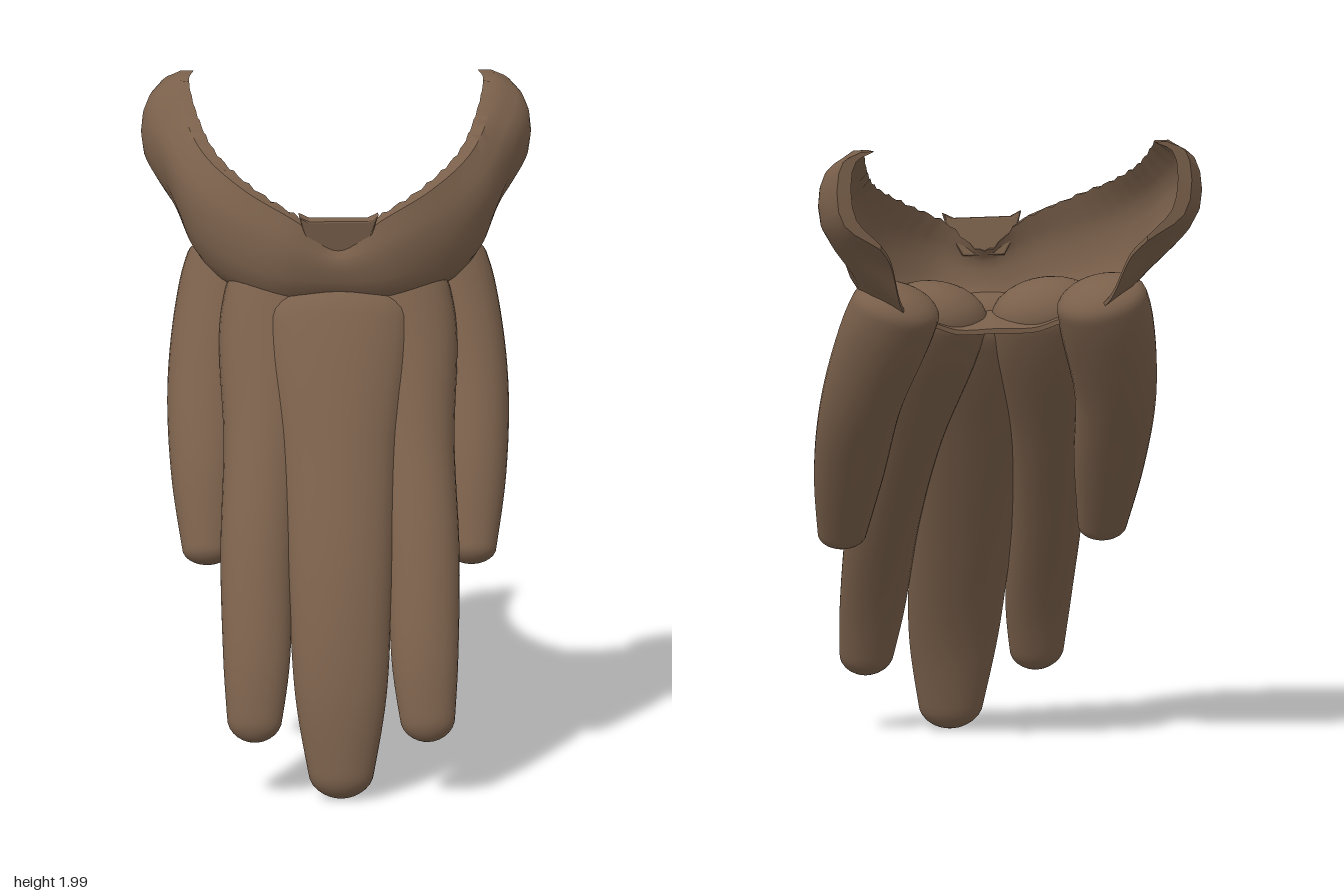
import * as THREE from 'three';
import { toCreasedNormals } from 'three/addons/utils/BufferGeometryUtils.js';

const hair = new THREE.MeshStandardMaterial({ color: 0x7a604b, side: THREE.DoubleSide });
hair.name = 'brown hair';

const V = (p) => new THREE.Vector3(p[0], p[1], p[2]);
const curve = (pts) => new THREE.CatmullRomCurve3(pts, false, 'centripetal');

// Joins equal closed rings into a tube with flat caps at both ends
function loft(rings) {
  const n = rings[0].length, pos = [], idx = [];
  rings.forEach((r) => r.forEach((p) => pos.push(p.x, p.y, p.z)));
  for (let i = 0; i < rings.length - 1; i++) {
    for (let j = 0; j < n; j++) {
      const a = i * n + j, b = i * n + (j + 1) % n;
      idx.push(a, b, a + n, b, b + n, a + n);
    }
  }
  [0, rings.length - 1].forEach((k) => {
    // strip across the ring, pairing opposite points
    for (let j = 0; j < n / 2 - 1; j++) {
      const a = k * n + j, b = a + 1, c = k * n + n - 1 - j, d = c - 1;
      if (k === 0) idx.push(a, c, b, b, c, d);
      else idx.push(a, b, c, b, d, c);
    }
  });
  const g = new THREE.BufferGeometry();
  g.setAttribute('position', new THREE.Float32BufferAttribute(pos, 3));
  g.setIndex(idx);
  return g;
}

// Rows of [x, y, z, half width, half depth] from the root to the tip
function strand(rows, name, mirror = 1) {
  const path = curve(rows.map((r) => new THREE.Vector3(r[0] * mirror, r[1], r[2])));
  const size = curve(rows.map((r, i) => new THREE.Vector3(r[3], r[4], i)));
  const rings = [], steps = 48, sides = 28;
  const round = (d, e) => (d < e ? Math.sqrt(Math.max(0, 1 - (1 - d / e) ** 2)) : 1);
  for (let i = 0; i <= steps; i++) {
    const s = (1 - Math.cos(Math.PI * i / steps)) / 2;
    const t = path.getUtoTmapping(s);
    const c = path.getPoint(t), w = size.getPoint(t), tan = path.getTangent(t);
    const side = new THREE.Vector3(1, 0, 0).addScaledVector(tan, -tan.x).normalize();
    const front = side.clone().cross(tan).negate();
    const k = Math.max(0.002, round(s, 0.065) * round(1 - s, 0.042));
    rings.push(Array.from({ length: sides }, (_, j) => {
      const a = j / sides * Math.PI * 2;
      return c.clone().addScaledVector(side, Math.cos(a) * w.x * k)
        .addScaledVector(front, -Math.sin(a) * w.y * k);
    }));
  }
  const g = loft(rings);
  // orient faces outward
  const a = rings[20], m = a[0].clone().sub(a[14]);
  const nrm = a[1].clone().sub(a[0]).cross(rings[21][0].clone().sub(a[0]));
  if (nrm.dot(m) < 0) g.index.array.reverse();
  g.computeVertexNormals();
  const mesh = new THREE.Mesh(g, hair);
  mesh.name = name;
  return mesh;
}

// Half jaw stations: top rim, cheek, lower edge, underside edge
const stations = [
  [[0, 1.58, -0.02], [0, 1.54, 0], [0, 1.42, -0.04], [0, 1.365, -0.265]],
  [[0.13, 1.67, -0.015], [0.165, 1.58, 0], [0.17, 1.42, -0.045], [0.12, 1.365, -0.265]],
  [[0.28, 1.745, -0.085], [0.33, 1.63, -0.08], [0.30, 1.44, -0.11], [0.19, 1.39, -0.28]],
  [[0.40, 1.82, -0.22], [0.452, 1.71, -0.2], [0.405, 1.485, -0.22], [0.27, 1.42, -0.33]],
  [[0.46, 1.90, -0.38], [0.525, 1.80, -0.36], [0.47, 1.59, -0.37], [0.32, 1.48, -0.41]],
  [[0.485, 1.985, -0.49], [0.575, 1.91, -0.49], [0.57, 1.74, -0.49], [0.37, 1.63, -0.50]],
  [[0.47, 1.995, -0.56], [0.53, 1.96, -0.56], [0.53, 1.78, -0.56], [0.41, 1.69, -0.555]],
];

function jawBand() {
  const flip = (s) => s.map(([x, y, z]) => [-x, y, z]);
  const all = [...stations.slice(1).reverse().map(flip), ...stations];
  const rails = [0, 1, 2, 3].map((k) => curve(all.map((s) => V(s[k]))));
  const steps = 96, m = 10, rings = [];
  for (let i = 0; i <= steps; i++) {
    const outer = rails.map((r) => r.getPoint(i / steps));
    // inner skin, pulled toward the face
    const inner = outer.map((p, k) => {
      const d = new THREE.Vector3(-p.x, 0, Math.min(0, -0.4 - p.z)).normalize();
      return k === 3 ? p.clone().add(new THREE.Vector3(0, 0.015, 0))
        : p.clone().addScaledVector(d, 0.04).add(new THREE.Vector3(0, k === 2 ? 0.015 : 0, 0));
    });
    // ragged inner rim
    if (i > 6 && i < steps - 6) inner[0].y += 0.005 * Math.sin(Math.abs(i - steps / 2) * 2.3);
    rings.push([...curve(outer).getPoints(m), ...curve(inner).getPoints(m).reverse()]);
  }
  const g = loft(rings);
  const r = rings[48], n = r[4].clone().sub(r[3]).cross(rings[49][3].clone().sub(r[3]));
  if (n.z < 0) g.index.array.reverse();
  const mesh = new THREE.Mesh(toCreasedNormals(g, 0.8), hair);
  mesh.name = 'jawBand';
  return mesh;
}

// Small tuft under the lip
function lipTuft() {
  const s = new THREE.Shape([[-0.06, 0], [0.06, 0], [0.095, 0.06], [0.115, 0.12],
    [0.09, 0.105], [-0.09, 0.105], [-0.115, 0.12], [-0.095, 0.06]].map((p) => new THREE.Vector2(...p)));
  const g = new THREE.ExtrudeGeometry(s, {
    depth: 0.02, bevelEnabled: true, bevelSize: 0.006, bevelThickness: 0.006, bevelSegments: 2,
  });
  const mesh = new THREE.Mesh(g, hair);
  mesh.name = 'lipTuft';
  mesh.position.set(0, 1.57, -0.045);
  mesh.rotation.x = 0.2;
  return mesh;
}

export function createModel() {
  const group = new THREE.Group();
  group.name = 'beard';
  group.add(jawBand(), lipTuft());

  group.add(strand([
    [0, 1.445, -0.1, 0.23, 0.09], [0, 1.25, 0.01, 0.215, 0.1], [0, 1.0, 0.145, 0.178, 0.097],
    [0, 0.6, 0.345, 0.157, 0.092], [0, 0.3, 0.46, 0.137, 0.074], [0, 0.005, 0.52, 0.085, 0.052],
  ], 'centreStrand'));

  const inner = [
    [0.157, 1.495, -0.19, 0.16, 0.108], [0.19, 1.3, -0.09, 0.17, 0.107], [0.225, 1.0, 0.09, 0.125, 0.095],
    [0.25, 0.7, 0.275, 0.112, 0.085], [0.255, 0.4, 0.435, 0.1, 0.065], [0.265, 0.18, 0.515, 0.075, 0.045],
  ];
  const outer = [
    [0.3, 1.52, -0.325, 0.135, 0.105], [0.34, 1.38, -0.26, 0.142, 0.107], [0.39, 1.15, -0.13, 0.125, 0.1],
    [0.4, 0.9, 0.03, 0.108, 0.083], [0.4, 0.645, 0.17, 0.068, 0.048],
  ];
  for (const [side, m] of [['left', 1], ['right', -1]]) {
    group.add(strand(inner, side + 'InnerStrand', m), strand(outer, side + 'OuterStrand', m));
  }
  return group;
}
